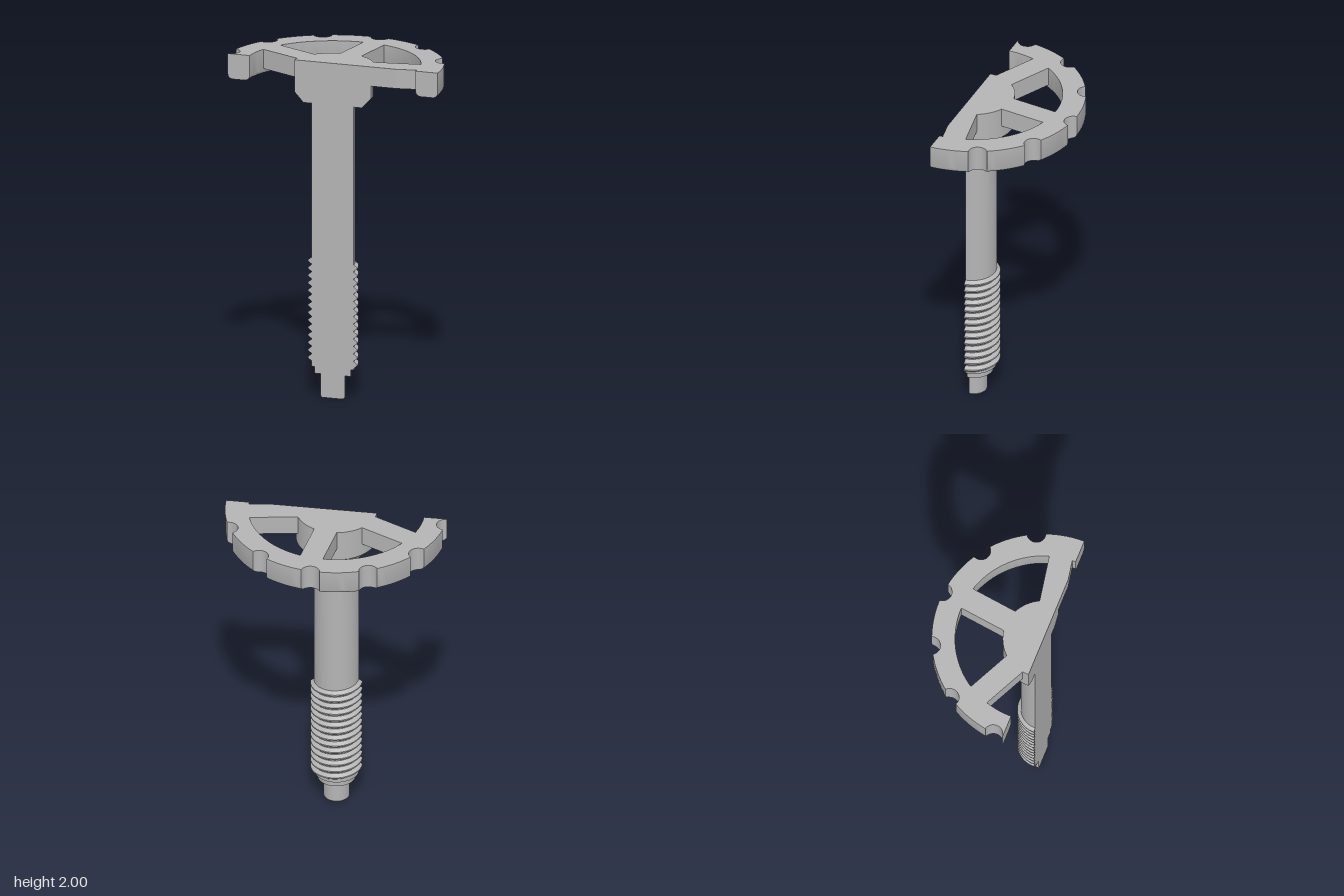
import * as THREE from 'three';
import { toCreasedNormals } from 'three/addons/utils/BufferGeometryUtils.js';

const CUT_Z = 0.32; // flat cut plane, which also holds the axis
const rad = THREE.MathUtils.degToRad;

// Sweeps a closed (radius, height) profile round the axis and caps both ends.
// The profile is a function of the angle and always has the same point count.
function sweep(angles, profile) {
  const rings = angles.map(profile);
  const n = rings[0].length;
  const position = [];
  const index = [];
  angles.forEach((a, i) => {
    for (const [r, y] of rings[i]) position.push(r * Math.cos(a), y, CUT_Z - r * Math.sin(a));
    if (i === 0) return;
    for (let j = 0; j < n; j++) {
      const k = (j + 1) % n;
      const r0 = rings[i][j][0], r1 = rings[i][k][0];
      const p = (i - 1) * n + j, q = (i - 1) * n + k;
      if (r0 > 0) index.push(p, p + n, q);
      if (r1 > 0) index.push(p + n, q + n, q);
    }
  });
  [0, rings.length - 1].forEach((ring) => {
    const contour = rings[ring].map(([r, y]) => new THREE.Vector2(r, y));
    for (const [a, b, c] of THREE.ShapeUtils.triangulateShape(contour, [])) {
      const o = ring * n;
      if (ring === 0) index.push(o + a, o + b, o + c);
      else index.push(o + a, o + c, o + b);
    }
  });
  const geometry = new THREE.BufferGeometry();
  geometry.setAttribute('position', new THREE.Float32BufferAttribute(position, 3));
  geometry.setIndex(index);
  return toCreasedNormals(geometry, 0.6);
}

// Keeps the part of a polygon behind the cut plane
function clip(points) {
  const out = [];
  points.forEach((p, i) => {
    const q = points[(i + 1) % points.length];
    if (p.y >= 0) out.push(p);
    if (p.y * q.y < 0) out.push(p.clone().lerp(q, p.y / (p.y - q.y)));
  });
  return out;
}

// Stem and hub profile, with the teeth climbing as a helix
function stemProfile(angle) {
  const pitch = 0.0445;
  const points = [[0, 0], [0.065, 0], [0.075, 0.012], [0.075, 0.14], [0.11, 0.14], [0.11, 0.18], [0.13, 0.18]];
  const start = 0.19 + pitch * angle / (2 * Math.PI);
  for (let i = 0; i < 14; i++) {
    const y = start + i * pitch;
    points.push([0.13, y], [0.151, y + pitch * 0.36], [0.151, y + pitch * 0.54], [0.13, y + pitch * 0.9]);
  }
  points.push([0.13, 1.75], [0.18, 1.75], [0.235, 1.81], [0.235, 2], [0, 2]);
  return points;
}

// Rim section with rounded lower edges, cut back where a grip notch passes
const NOTCHES = [25, 55, 85, 115, 145, 175].map(rad);
const NOTCH_R = 0.055, NOTCH_C = 0.65;
const NOTCH_HALF = Math.asin(NOTCH_R / NOTCH_C);

function rimProfile(angle) {
  const f = 0.03;
  const points = [];
  for (const [cx, from] of [[0.51 + f, Math.PI], [0.645 - f, Math.PI * 1.5]]) {
    for (let i = 0; i <= 5; i++) {
      const t = from + i / 5 * Math.PI / 2;
      points.push([cx + f * Math.cos(t), 1.85 + f + f * Math.sin(t)]);
    }
  }
  points.push([0.645, 2], [0.51, 2]);
  let limit = 1;
  for (const c of NOTCHES) {
    const d = Math.abs(angle - c);
    if (d <= NOTCH_HALF + 1e-9) {
      const s = NOTCH_C * Math.sin(d);
      limit = NOTCH_C * Math.cos(d) - Math.sqrt(Math.max(0, NOTCH_R ** 2 - s * s));
    }
  }
  return points.map(([r, y]) => [Math.min(r, limit), y]);
}

export function createModel() {
  const model = new THREE.Group();
  model.name = 'sectionedHandwheel';
  const metal = new THREE.MeshStandardMaterial({ color: 0xb4b4b4 });
  metal.name = 'grey metal';
  const add = (name, geometry) => {
    const mesh = new THREE.Mesh(geometry, metal);
    mesh.name = name;
    model.add(mesh);
  };

  // Threaded stem with hub
  const stemAngles = Array.from({ length: 37 }, (_, i) => i / 36 * Math.PI);
  add('stemAndHub', sweep(stemAngles, stemProfile));

  // Notched rim: even steps, plus finer ones across each notch
  let rimAngles = Array.from({ length: 61 }, (_, i) => i / 60 * Math.PI)
    .filter((a) => NOTCHES.every((c) => Math.abs(a - c) > NOTCH_HALF));
  for (const c of NOTCHES) {
    for (let i = 0; i <= 20; i++) rimAngles.push(c - NOTCH_HALF * Math.cos(i / 20 * Math.PI));
  }
  rimAngles.sort((a, b) => a - b);
  add('rim', sweep(rimAngles, rimProfile));

  // Spokes, a fifth of a turn apart
  [10, 82, 154].forEach((degrees, i) => {
    const corners = [[0.1, -0.068], [0.55, -0.068], [0.55, 0.068], [0.1, 0.068]]
      .map(([x, y]) => new THREE.Vector2(x, y).rotateAround(new THREE.Vector2(), rad(degrees)));
    const spoke = new THREE.ExtrudeGeometry(new THREE.Shape(clip(corners)), { depth: 0.115, bevelEnabled: false });
    spoke.rotateX(-Math.PI / 2).translate(0, 1.885, CUT_Z);
    add('spoke' + (i + 1), spoke);
  });

  return model;
}
